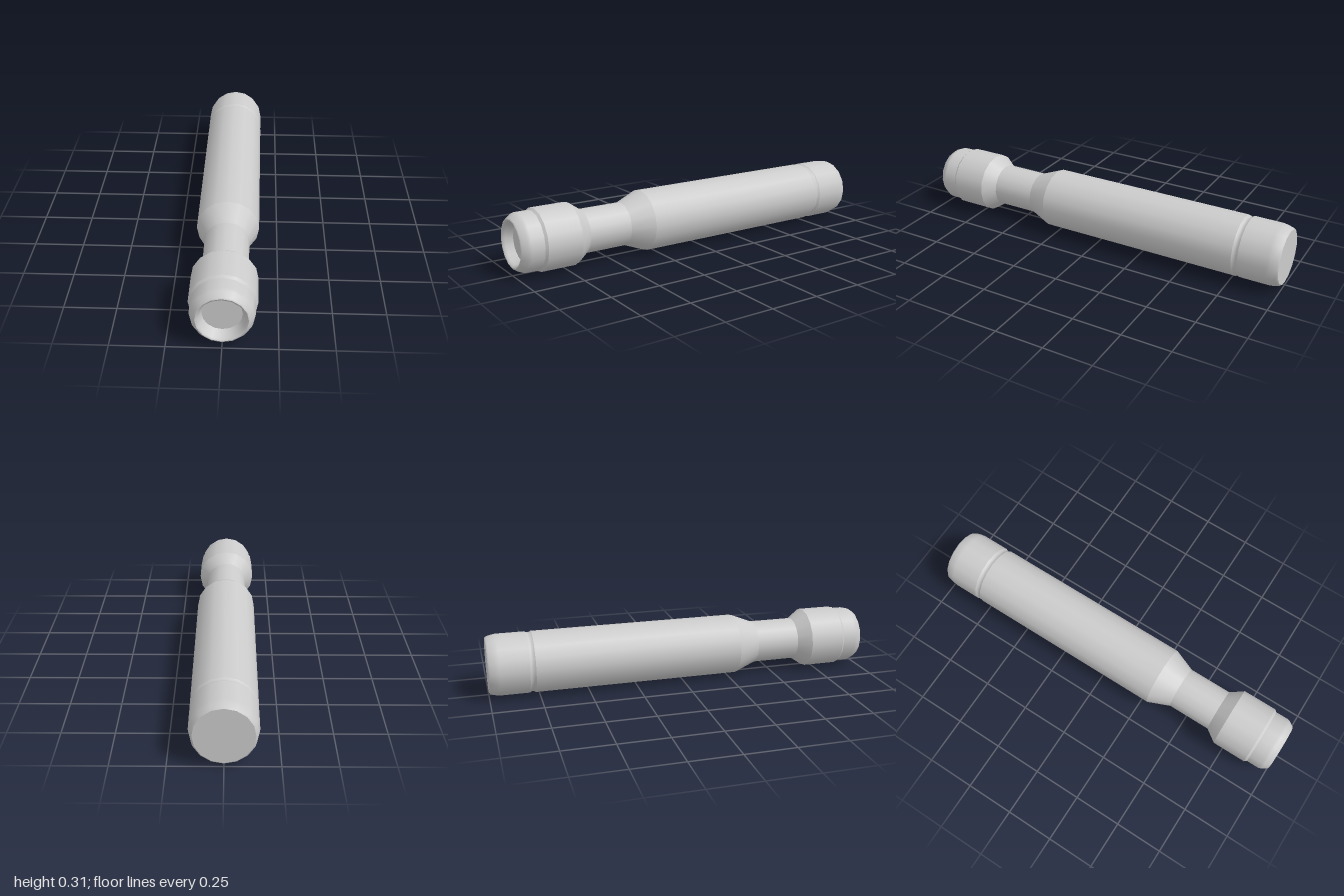
import * as THREE from 'three';

const SIDES = 16;
const R = 0.156;

export function createModel() {
  const group = new THREE.Group();
  const material = new THREE.MeshStandardMaterial({ color: 0xcccccc });

  // Turned section about the z axis; profile is [radius, z] from back to front
  function turned(name, profile) {
    const points = profile.map(([r, z]) => new THREE.Vector2(r, z));
    const geometry = new THREE.LatheGeometry(points, SIDES);
    geometry.rotateX(Math.PI / 2);
    const mesh = new THREE.Mesh(geometry, material);
    mesh.name = name;
    mesh.position.y = R;
    group.add(mesh);
  }

  // Rear cap with rounded edge, and the groove ahead of it
  turned('rearFace', [[0, -1], [0.138, -1]]);
  turned('rearCap', [[0.138, -1], [0.146, -0.992], [0.153, -0.965], [R, -0.945], [R, -0.80]]);
  turned('rearGroove', [[R, -0.80], [0.15, -0.79], [0.15, -0.78], [R, -0.77]]);

  // Main barrel, tapering to the neck
  turned('barrel', [[R, -0.77], [R, 0.295]]);
  turned('barrelTaper', [[R, 0.295], [0.11, 0.41]]);
  turned('neck', [[0.11, 0.41], [0.11, 0.635]]);

  // Head: flare, collar and stepped shoulder
  turned('headFlare', [[0.11, 0.635], [R, 0.70]]);
  turned('headCollar', [[R, 0.70], [R, 0.878]]);
  turned('headShoulder', [[R, 0.878], [0.146, 0.89]]);

  // Nose with rounded rim and a shallow dished opening
  turned('nose', [[0.146, 0.89], [0.146, 0.955], [0.141, 0.972], [0.125, 0.996], [0.118, 1]]);
  turned('noseRim', [[0.118, 1], [0.11, 0.996], [0.105, 0.985], [0.09, 0.95]]);
  turned('noseRecess', [[0.09, 0.95], [0, 0.95]]);

  return group;
}
